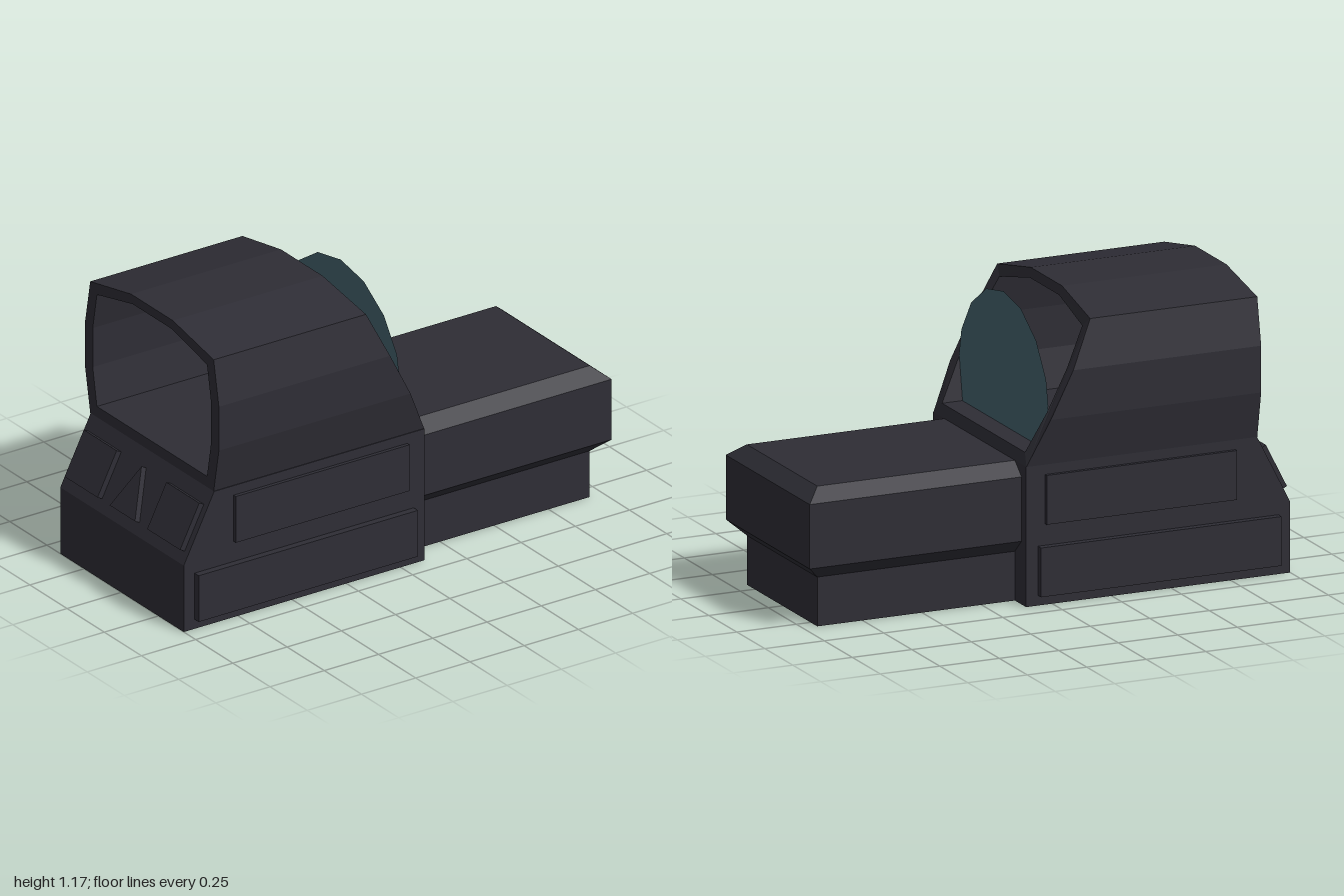
import * as THREE from 'three';

const Z0 = 0.005; // centre line of the housing

const bodyMat = new THREE.MeshStandardMaterial({ color: 0x2e2d35 });
bodyMat.name = 'charcoal housing';
const lensMat = new THREE.MeshStandardMaterial({ color: 0x43616c, side: THREE.DoubleSide });
lensMat.name = 'teal glass';

const toShape = (pts) => new THREE.Shape(pts.map(([x, y]) => new THREE.Vector2(x, y)));

// Closes a half outline by mirroring it across the centre line
const mirrored = (half) => [
  ...half,
  ...half.filter(([x]) => x !== 0).reverse().map(([x, y]) => [-x, y]),
];

const extrude = (shape, depth) =>
  new THREE.ExtrudeGeometry(shape, { depth, bevelEnabled: false, steps: 1 });

// Solid from stacked rectangles: each level is [y, xMax, halfWidth]
function stackedBlock(xMin, levels) {
  const pos = [];
  const rings = levels.map(([y, x, w]) => [
    [xMin, y, w], [x, y, w], [x, y, -w], [xMin, y, -w],
  ]);
  const quad = (a, b, c, d) => pos.push(...a, ...b, ...c, ...a, ...c, ...d);
  for (let i = 0; i < rings.length - 1; i++) {
    for (let k = 0; k < 4; k++) {
      const n = (k + 1) % 4;
      quad(rings[i][k], rings[i][n], rings[i + 1][n], rings[i + 1][k]);
    }
  }
  const [a, b, c, d] = rings[0];
  quad(d, c, b, a);
  quad(...rings[rings.length - 1]);
  const g = new THREE.BufferGeometry();
  g.setAttribute('position', new THREE.Float32BufferAttribute(pos, 3));
  g.computeVertexNormals();
  return g;
}

// Sloping front edge of the hood
function hoodFront(y) {
  const edge = [[0.555, 0.11], [0.59, 0.1], [1.09, -0.155], [1.11, -0.158], [1.17, -0.17]];
  for (let i = 1; i < edge.length; i++) {
    const [y0, x0] = edge[i - 1], [y1, x1] = edge[i];
    if (y <= y1) return x0 + ((x1 - x0) * Math.max(0, y - y0)) / (y1 - y0);
  }
  return -0.17;
}

export function createModel() {
  const group = new THREE.Group();
  const add = (name, geometry, material = bodyMat, z = 0) => {
    const mesh = new THREE.Mesh(geometry, material);
    mesh.name = name;
    mesh.position.z = z;
    group.add(mesh);
    return mesh;
  };

  // Main housing with a sloped rear panel
  const side = toShape([[-1, 0], [0.11, 0], [0.11, 0.555], [-0.86, 0.555], [-1, 0.28]]);
  add('housing', extrude(side, 0.83).translate(0, 0, -0.415), bodyMat, Z0);

  // Front battery block with chamfered rim and narrower foot
  add('batteryBlock', stackedBlock(0.1, [
    [0, 0.94, 0.315], [0.195, 0.94, 0.315], [0.25, 1, 0.375],
    [0.505, 1, 0.375], [0.555, 0.94, 0.315],
  ]), bodyMat, Z0);

  // Raised panels on both sides
  for (const [name, x0, x1, y0, y1, half] of [
    ['upperSidePanel', -0.77, 0.03, 0.32, 0.515, 0.43],
    ['lowerSidePanel', -0.95, 0.06, 0.04, 0.235, 0.443],
  ]) {
    for (const s of [1, -1]) {
      const t = half - 0.41;
      const g = new THREE.BoxGeometry(x1 - x0, y1 - y0, t);
      g.translate((x0 + x1) / 2, (y0 + y1) / 2, s * (half - t / 2));
      add(name, g, bodyMat, Z0);
    }
  }

  // Buttons on the sloped rear panel
  const up = new THREE.Vector3(0.14, 0.275, 0).normalize();
  const out = new THREE.Vector3(-up.y, up.x, 0);
  const slope = new THREE.Matrix4()
    .makeBasis(new THREE.Vector3(0, 0, 1), up, out)
    .setPosition(-1, 0.28, 0);
  const button = (name, pts) =>
    add(name, extrude(toShape(pts), 0.03).translate(0, 0, -0.006).applyMatrix4(slope), bodyMat, Z0);
  for (const s of [1, -1]) {
    const a = s > 0 ? 0.167 : -0.388, b = a + 0.221;
    button('rearButton', [[a, 0.05], [b, 0.05], [b, 0.245], [a, 0.245]]);
  }
  button('arrowButton', [[-0.085, 0.05], [0.085, 0.05], [0, 0.245]]);

  // Open hood: a ring section whose front end follows the sloping edge
  const ring = toShape(mirrored([[0.415, 0.555], [0.45, 0.74], [0.45, 0.925], [0.415, 1.11], [0.14, 1.166]]));
  ring.holes.push(toShape(mirrored([[0.37, 0.6], [0.398, 0.755], [0.398, 0.92], [0.37, 1.072], [0.13, 1.128]])));
  const hood = extrude(ring, 1).rotateY(Math.PI / 2);
  const p = hood.attributes.position;
  for (let i = 0; i < p.count; i++) p.setX(i, p.getX(i) < 0.5 ? -0.86 : hoodFront(p.getY(i)));
  hood.computeVertexNormals();
  add('hood', hood, bodyMat, 0.002);

  // Upright faceted lens
  const lens = toShape(mirrored([
    [0.368, 0.6], [0.398, 0.78], [0.378, 0.88], [0.29, 1.01], [0.155, 1.1], [0, 1.13],
  ]));
  add('lens', new THREE.ShapeGeometry(lens).rotateY(Math.PI / 2).translate(0.01, 0, 0), lensMat, 0.002);

  return group;
}
